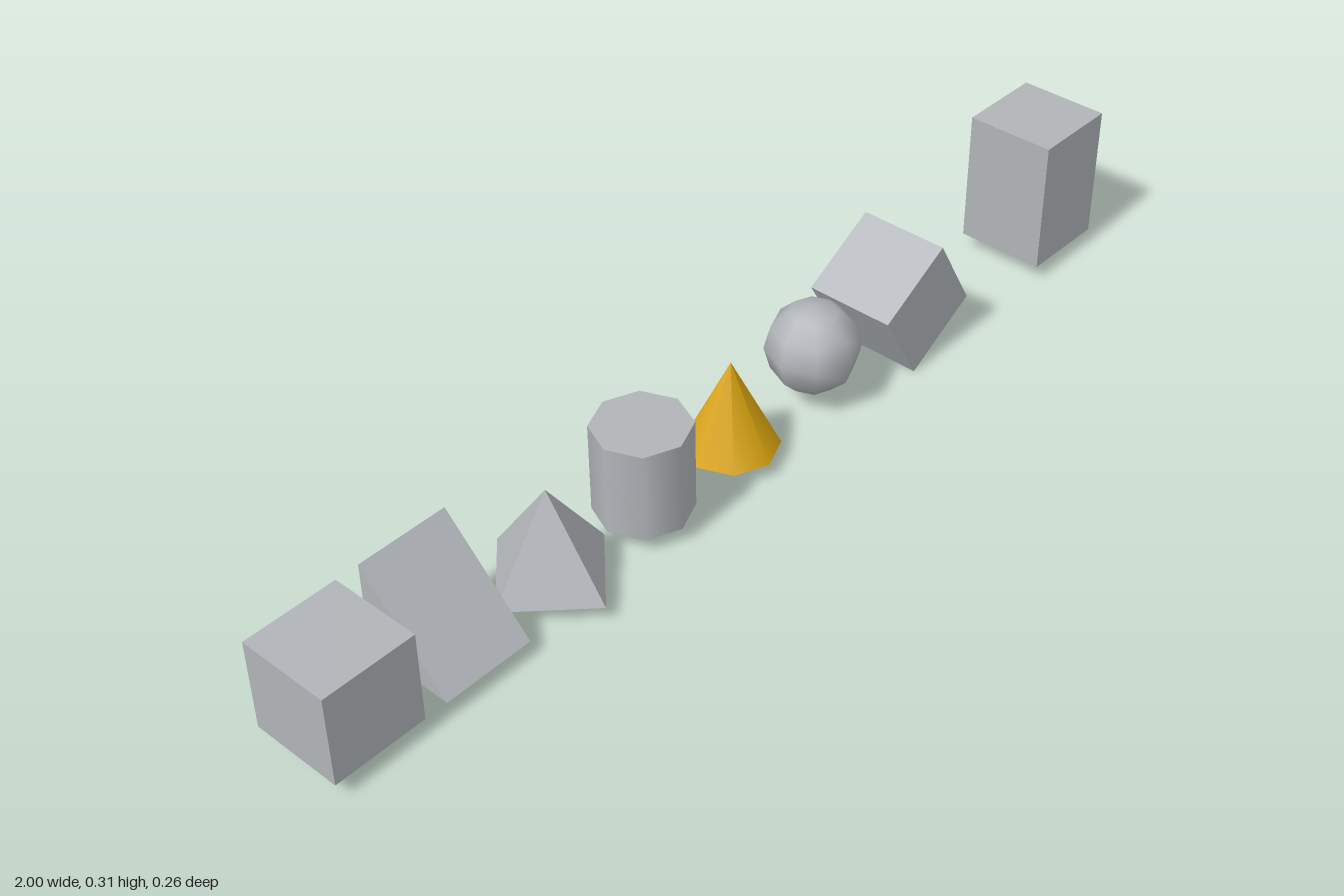
import * as THREE from 'three';

export function createModel() {
  const group = new THREE.Group();
  const grey = new THREE.MeshStandardMaterial({ color: 0xb0b4b8 });
  grey.name = 'grey';
  const gold = new THREE.MeshStandardMaterial({ color: 0xdaa510 });
  gold.name = 'gold';

  const u = 2 / 11;        // size of one solid
  const step = 1.25 * u;   // spacing along the row
  const r = u / 2;
  const mid = r * (Math.cos(Math.PI / 6) + Math.sin(Math.PI / 6)); // tilted cube rests on y = 0

  // Places a solid in a numbered slot of the row, slot 0 at the centre
  function add(name, geometry, slot, material = grey, y = mid) {
    const mesh = new THREE.Mesh(geometry, material);
    mesh.name = name;
    mesh.position.set(slot * step, y, 0);
    group.add(mesh);
    return mesh;
  }

  add('cube', new THREE.BoxGeometry(u, u, u), -4);

  // Wedge: upright back, slope running down to the front
  const side = new THREE.Shape([
    new THREE.Vector2(-r, -r),
    new THREE.Vector2(r, -r),
    new THREE.Vector2(r, r),
  ]);
  const wedge = new THREE.ExtrudeGeometry(side, { depth: u, bevelEnabled: false });
  wedge.translate(0, 0, -r).rotateY(Math.PI / 2);
  add('wedge', wedge, -3);

  // Pyramid with its corners on the axes and flat faces
  const pyramid = new THREE.ConeGeometry(u * Math.SQRT1_2, u, 4).toNonIndexed();
  pyramid.computeVertexNormals();
  add('pyramid', pyramid, -2);

  // Round solids with eight sides
  add('cylinder', new THREE.CylinderGeometry(r, r, u, 8), -1);
  add('cone', new THREE.ConeGeometry(r, u, 8), 0, gold);
  add('sphere', new THREE.SphereGeometry(r, 8, 6), 1);

  add('tiltedCube', new THREE.BoxGeometry(u, u, u), 2).rotation.z = Math.PI / 6;

  // Tall box standing level with the other bases
  add('tallBox', new THREE.BoxGeometry(u, 1.5 * u, u), 4, grey, mid + 0.25 * u);

  return group;
}
